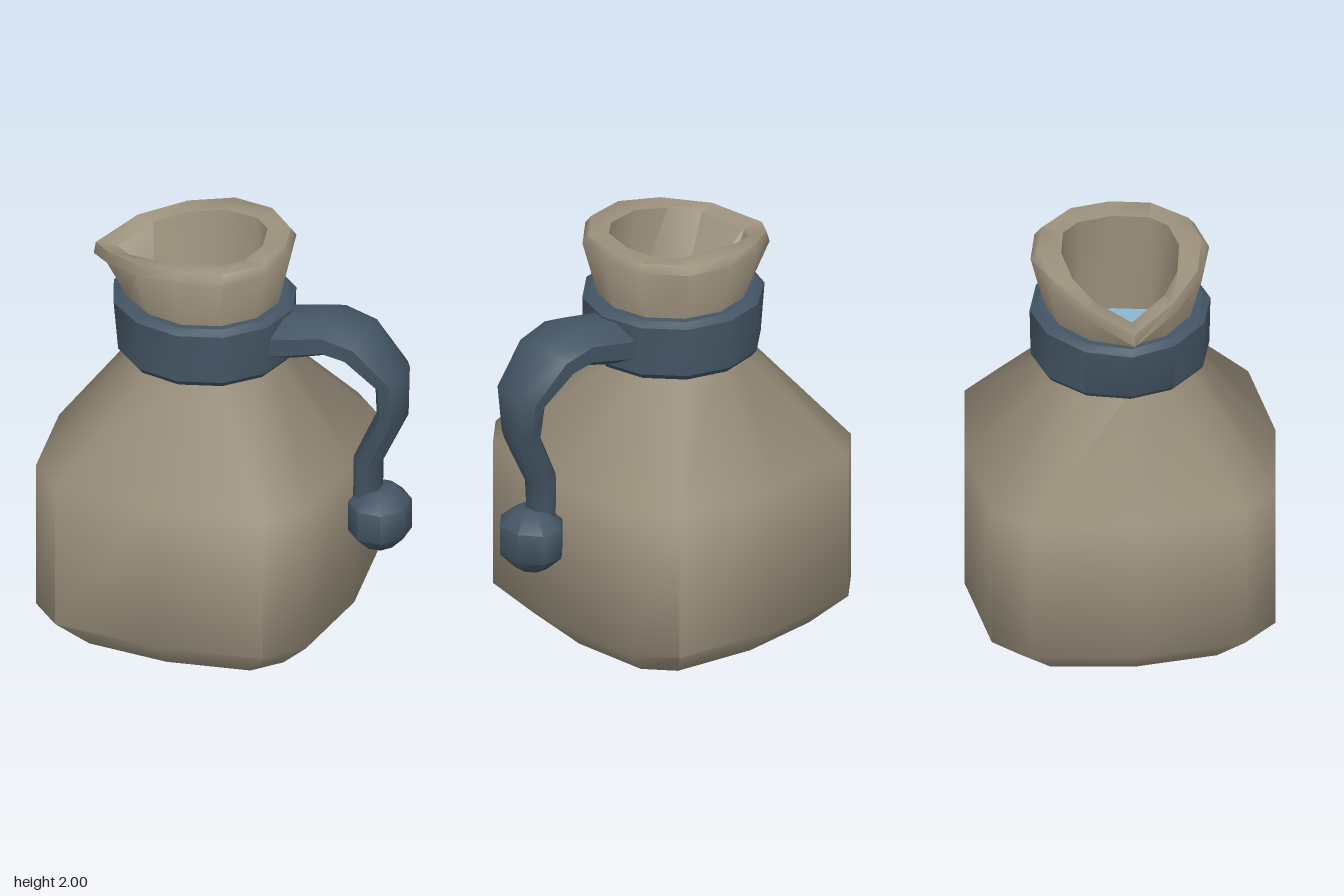
import * as THREE from 'three';
import { toCreasedNormals } from 'three/addons/utils/BufferGeometryUtils.js';

const V = (x, y, z) => new THREE.Vector3(x, y, z);

// Skin a list of closed rings; optionally cap the first and last with a fan.
function loft(rings, { capStart = false, capEnd = false, crease = 1 } = {}) {
  const n = rings[0].length;
  const pts = rings.flat();
  const index = [];
  for (let r = 0; r < rings.length - 1; r++) {
    for (let i = 0; i < n; i++) {
      const a = r * n + i, b = r * n + (i + 1) % n;
      index.push(a, a + n, b, b, a + n, b + n);
    }
  }
  const cap = (ring, base, flip) => {
    const c = ring.reduce((s, p) => s.add(p), V(0, 0, 0)).divideScalar(n);
    const k = pts.push(c) - 1;
    for (let i = 0; i < n; i++) {
      const a = base + i, b = base + (i + 1) % n;
      if (flip) index.push(k, a, b);
      else index.push(k, b, a);
    }
  };
  if (capStart) cap(rings[0], 0, true);
  if (capEnd) cap(rings[rings.length - 1], (rings.length - 1) * n, false);
  const g = new THREE.BufferGeometry().setFromPoints(pts);
  g.setIndex(index);
  g.computeVertexNormals();
  return toCreasedNormals(g, crease);
}

// Twelve-point ring mirrored across z from seven points, running +x to -x.
function mirrorRing(xs, ys, zs) {
  const half = xs.map((x, i) => V(x, Array.isArray(ys) ? ys[i] : ys, zs[i]));
  const back = half.slice(1, 6).reverse().map(p => V(p.x, p.y, -p.z));
  return [...half, ...back];
}

const CX = -0.135;
// Rounded-square ring for the belly
const squareRing = (y, s) => mirrorRing(
  [0.738, 0.675, 0.52, 0, -0.52, -0.675, -0.738].map(x => CX + x * s), y,
  [0, 0.51, 0.675, 0.74, 0.675, 0.51, 0].map(z => z * s));
// Round ring, with its -x tip drawn out towards the spout
const roundRing = (y, r, tip = 0) => {
  const a = [0, 1, 2, 3, 4, 5, 6].map(i => i * Math.PI / 6);
  return mirrorRing(a.map((t, i) => CX + r * Math.cos(t) - (i === 6 ? tip : i === 5 ? tip / 2 : 0)),
    y, a.map((t, i) => (i === 6 ? 0 : r * Math.sin(t))));
};

export function createModel() {
  const clay = new THREE.MeshStandardMaterial({ color: 0x9c917d });
  clay.name = 'clay';
  const slate = new THREE.MeshStandardMaterial({ color: 0x445564 });
  slate.name = 'slate';
  const water = new THREE.MeshStandardMaterial({ color: 0x88b8d0 });
  water.name = 'water';

  const group = new THREE.Group();
  group.name = 'jug';
  const add = (name, geometry, material, parent = group) => {
    const m = new THREE.Mesh(geometry, material);
    m.name = name;
    parent.add(m);
    return m;
  };

  // Belly, shoulders, neck, spouted rim and inner wall in one skin
  const innerEnd = mirrorRing(
    [0.17, 0.14, 0.08, -0.05, -0.20, -0.30, -0.40], 1.45,
    [0, 0.17, 0.215, 0.23, 0.20, 0.14, 0]);
  add('vessel', loft([
    squareRing(0, 0.775),
    squareRing(0.16, 1),
    squareRing(0.9, 1),
    roundRing(1.4, 0.355),
    roundRing(1.7, 0.36, 0.045),
    mirrorRing([0.28, 0.24, 0.08, -0.13, -0.36, -0.56, -0.70],
      [1.96, 1.96, 1.96, 1.96, 1.92, 1.88, 1.80],
      [0, 0.21, 0.38, 0.425, 0.36, 0.21, 0]),
    mirrorRing([0.255, 0.22, 0.07, -0.13, -0.35, -0.55, -0.69],
      [2, 2, 2, 2, 1.97, 1.93, 1.86],
      [0, 0.19, 0.35, 0.39, 0.34, 0.20, 0]),
    mirrorRing([0.145, 0.11, 0.03, -0.14, -0.32, -0.46, -0.58],
      [1.99, 1.99, 1.99, 1.99, 1.96, 1.92, 1.86],
      [0, 0.17, 0.25, 0.28, 0.25, 0.17, 0]),
    innerEnd,
  ], { capStart: true, crease: 1.05 }), clay);

  // Liquid surface inside the neck
  add('liquid', loft([innerEnd.map(p => V(p.x, 1.445, p.z)), innerEnd.map(p => V(p.x, 1.452, p.z))],
    { capEnd: true }), water);

  // Bevelled collar around the neck
  add('collar', loft([
    roundRing(1.41, 0.33),
    roundRing(1.4, 0.40),
    roundRing(1.43, 0.425),
    roundRing(1.675, 0.43, 0.035),
    roundRing(1.7, 0.395, 0.035),
    roundRing(1.7, 0.33),
  ], { crease: 0.6 }), slate);

  // Handle: octagonal sections [x, y, half thickness, half width] along a bent path
  const path = [
    [0.20, 1.545, 0.105, 0.18], [0.30, 1.56, 0.103, 0.18], [0.50, 1.605, 0.095, 0.18],
    [0.635, 1.57, 0.092, 0.17], [0.795, 1.41, 0.072, 0.14], [0.795, 1.21, 0.066, 0.11],
    [0.675, 0.95, 0.064, 0.085], [0.672, 0.74, 0.064, 0.075],
  ];
  const handle = new THREE.Group();
  handle.name = 'handle';
  group.add(handle);
  const k = 1 / Math.cos(Math.PI / 8);
  const sections = path.map(([x, y, t, w], i) => {
    const p = path[Math.max(i - 1, 0)], q = path[Math.min(i + 1, path.length - 1)];
    const d = V(q[0] - p[0], q[1] - p[1], 0).normalize();
    return Array.from({ length: 8 }, (_, j) => {
      const a = (j + 0.5) * Math.PI / 4;
      const u = Math.cos(a) * t * k;
      return V(x + d.y * u, y - d.x * u, Math.sin(a) * w * k);
    });
  });
  add('handleGrip', loft(sections, { capStart: true, capEnd: true, crease: 0.95 }), slate, handle);

  // Faceted knob at the end of the handle
  const knobRings = [[0.505, 0.075], [0.58, 0.147], [0.73, 0.147], [0.80, 0.075]].map(([y, r]) =>
    Array.from({ length: 8 }, (_, j) => {
      const a = (j + 0.5) * Math.PI / 4;
      return V(0.732 + Math.cos(a) * r * 0.94 * k, y, Math.sin(a) * r * 1.05 * k);
    }));
  add('handleKnob', loft(knobRings, { capStart: true, capEnd: true }), slate, handle);

  return group;
}
